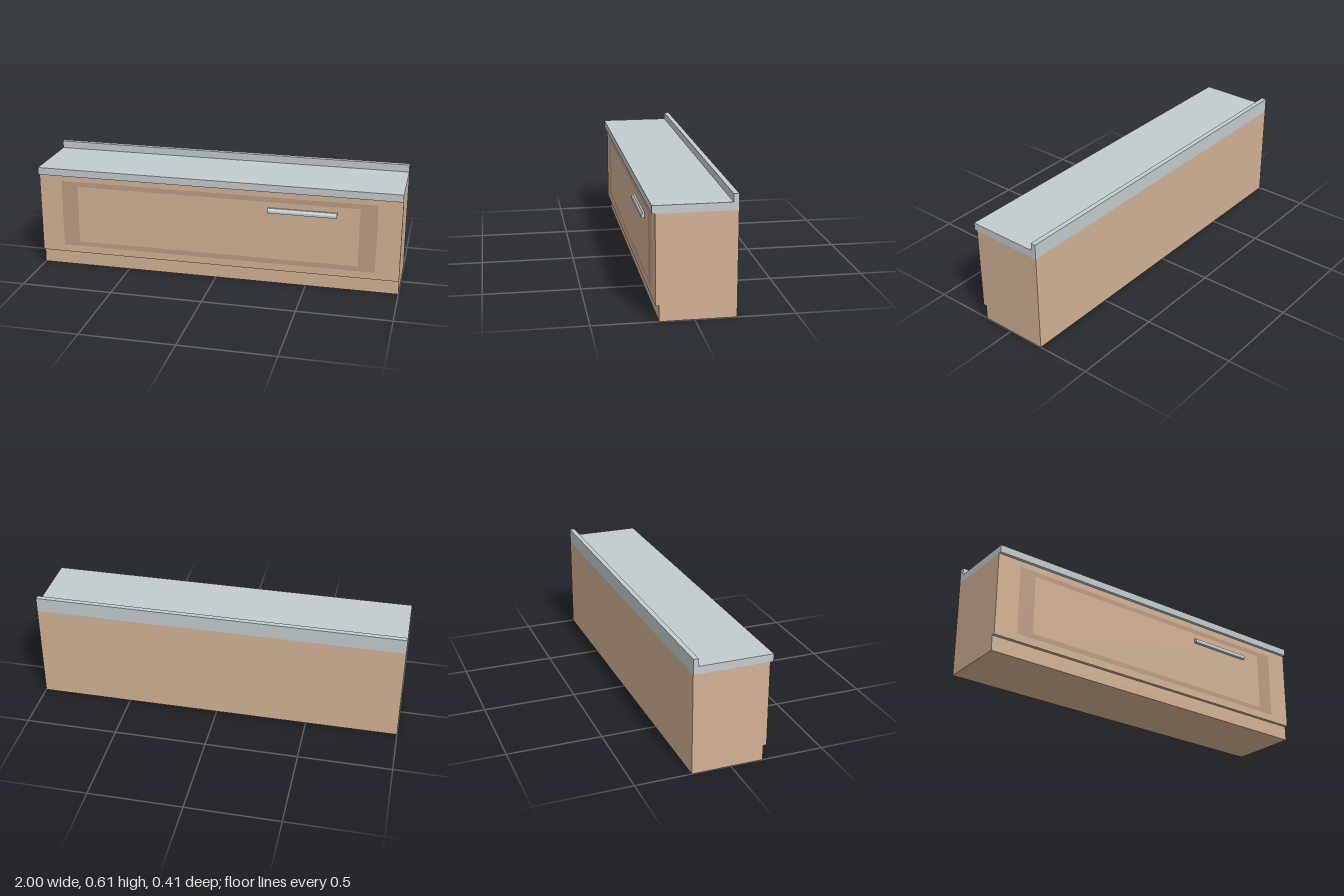
import * as THREE from 'three';

const wood = new THREE.MeshStandardMaterial({ color: 0xd2b294 });
const darkWood = new THREE.MeshStandardMaterial({ color: 0xbc9c84 });
const stone = new THREE.MeshStandardMaterial({ color: 0xc3cbcd });

// Extrudes a side profile of [z, y] points from x0 to x1
function profileMesh(name, points, x0, x1, material) {
  const shape = new THREE.Shape(points.map(([z, y]) => new THREE.Vector2(z, y)));
  const geometry = new THREE.ExtrudeGeometry(shape, { depth: x1 - x0, bevelEnabled: false });
  geometry.rotateY(-Math.PI / 2).translate(x1, 0, 0);
  const mesh = new THREE.Mesh(geometry, material);
  mesh.name = name;
  return mesh;
}

// Corners of a rectangle centred on x = 0
function rectangle(halfWidth, bottom, top) {
  return [[-halfWidth, bottom], [halfWidth, bottom], [halfWidth, top], [-halfWidth, top]]
    .map(([x, y]) => new THREE.Vector2(x, y));
}

export function createModel() {
  const model = new THREE.Group();
  model.name = 'baseCabinet';

  // Cabinet body with a recessed plinth
  model.add(profileMesh('cabinetBody', [
    [-0.206, 0], [0.172, 0], [0.172, 0.081], [0.19, 0.081], [0.19, 0.533], [-0.206, 0.533],
  ], -1, 1, wood));

  // Worktop with a raised lip along the back
  model.add(profileMesh('worktop', [
    [-0.206, 0.533], [0.207, 0.533], [0.207, 0.573], [-0.179, 0.573], [-0.179, 0.613], [-0.206, 0.613],
  ], -1, 1, stone));

  // Darker frame inlaid in the drawer front
  const frameShape = new THREE.Shape(rectangle(0.872, 0.121, 0.499));
  frameShape.holes.push(new THREE.Path(rectangle(0.78, 0.148, 0.472)));
  const frame = new THREE.Mesh(new THREE.ShapeGeometry(frameShape), darkWood);
  frame.name = 'drawerFrontFrame';
  frame.position.z = 0.1908;
  model.add(frame);

  // Bar handle with a chamfered upper edge
  model.add(profileMesh('handle', [
    [0.19, 0.414], [0.207, 0.414], [0.207, 0.427], [0.199, 0.44], [0.19, 0.44],
  ], 0.29, 0.66, stone));

  return model;
}
